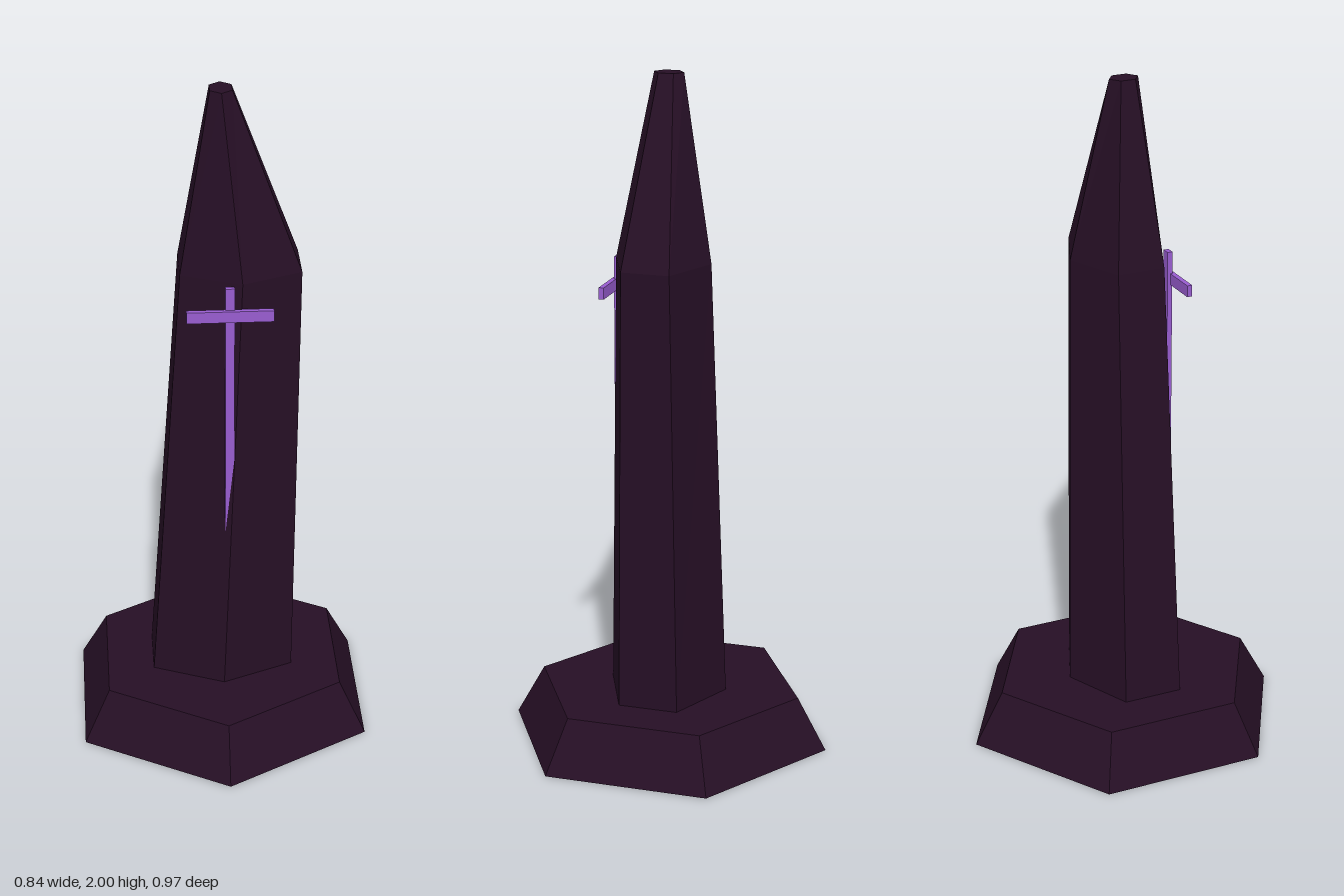
import * as THREE from 'three';

const stone = new THREE.MeshStandardMaterial({ name: 'darkStone', color: 0x260f25, flatShading: true });
const violet = new THREE.MeshStandardMaterial({ name: 'violetInlay', color: 0x985dd0, flatShading: true });

function addPart(group, name, geometry, material, x = 0, y = 0, z = 0) {
  const mesh = new THREE.Mesh(geometry, material);
  mesh.name = name;
  mesh.position.set(x, y, z);
  group.add(mesh);
}

// Hexagonal shaft: a three-ring cylinder whose rings are scaled and shifted
function shaftGeometry() {
  const rings = [ // height, x offset, half width in x, half depth in z
    { y: 0.14, x: 0, w: 0.209, d: 0.178 },
    { y: 1.47, x: 0.053, w: 0.172, d: 0.142 },
    { y: 2, x: 0, w: 0.031, d: 0.044 },
  ];
  const geometry = new THREE.CylinderGeometry(1, 1, 2, 6, 2).toNonIndexed();
  const p = geometry.attributes.position;
  for (let i = 0; i < p.count; i++) {
    const r = rings[Math.round(p.getY(i)) + 1];
    p.setXYZ(i, r.x + p.getX(i) * r.w / Math.cos(Math.PI / 6), r.y, p.getZ(i) * r.d);
  }
  geometry.computeVertexNormals();
  return geometry;
}

export function createModel() {
  const group = new THREE.Group();
  group.name = 'obelisk';

  // Stepped foot
  addPart(group, 'base', new THREE.CylinderGeometry(0.4, 0.487, 0.156, 6), stone, 0, 0.078, 0);

  // Leaning shaft with its pointed crown
  addPart(group, 'shaft', shaftGeometry(), stone);

  // Cross on the front; the upright sinks into the shaft lower down
  addPart(group, 'crossUpright', new THREE.BoxGeometry(0.026, 0.905, 0.015), violet, 0.017, 1.0125, 0.149);
  addPart(group, 'crossBar', new THREE.BoxGeometry(0.245, 0.034, 0.015), violet, 0.017, 1.382, 0.158);

  return group;
}
